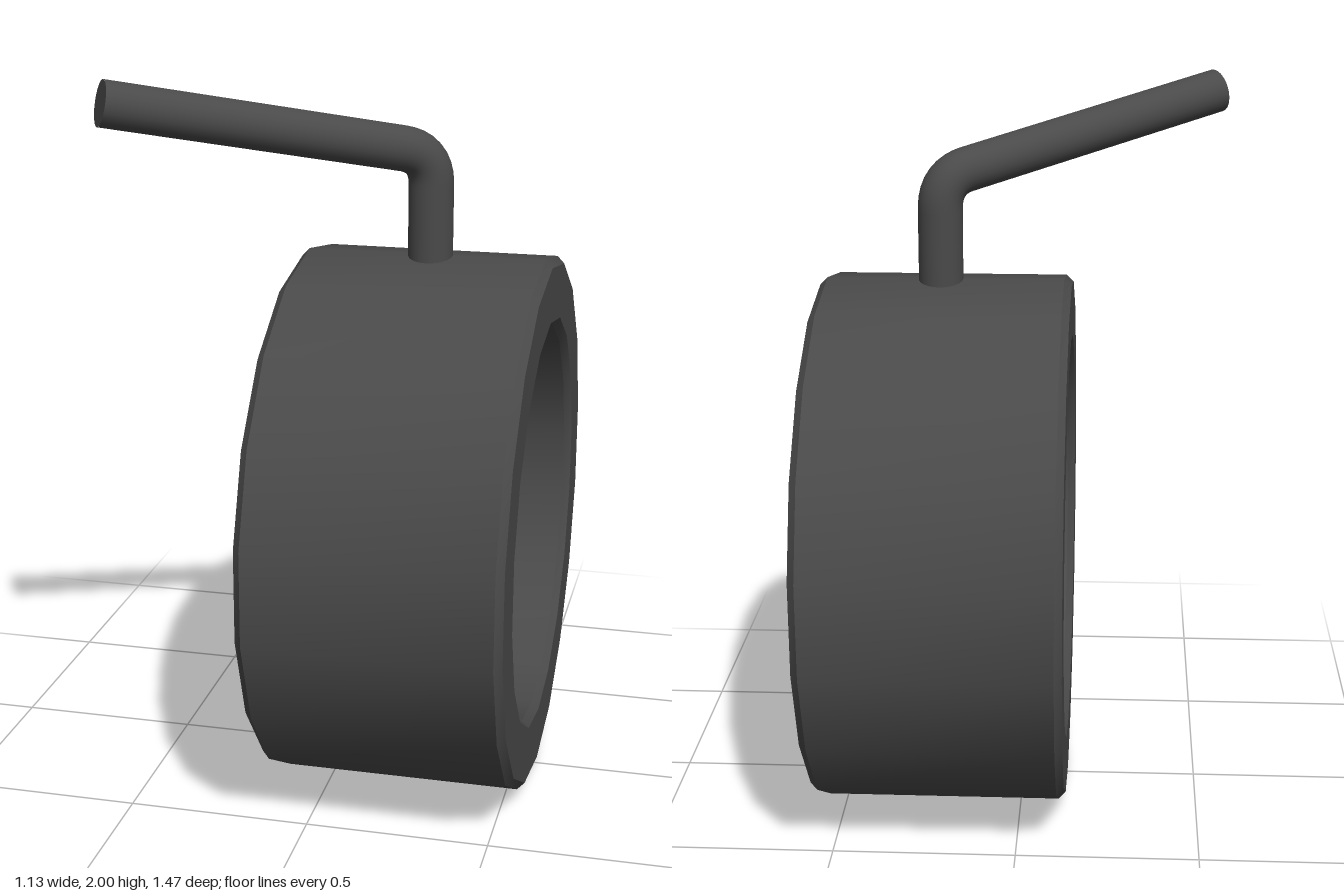
import * as THREE from 'three';
import { toCreasedNormals } from 'three/addons/utils/BufferGeometryUtils.js';

export function createModel() {
  const model = new THREE.Group();
  const material = new THREE.MeshStandardMaterial({ color: 0x4a4a4a });

  // 18-sided collar with chamfered rims, lying along x
  const outer = 0.745, inner = 0.553, half = 0.345, bevel = 0.02;
  const profile = [
    [inner, -half + bevel], [inner + bevel, -half], [outer - bevel, -half], [outer, -half + bevel],
    [outer, half - bevel], [outer - bevel, half], [inner + bevel, half], [inner, half - bevel],
    [inner, -half + bevel],
  ].map(([r, y]) => new THREE.Vector2(r, y));
  const ring = new THREE.LatheGeometry(profile, 18, Math.PI / 2);
  const collar = new THREE.Mesh(toCreasedNormals(ring, 0.5), material);
  collar.name = 'collar';
  collar.rotation.z = -Math.PI / 2;
  collar.position.set(0.215, 0.745, 0);
  model.add(collar);

  // Bent handle: upright stem, rounded elbow, long sloping arm
  const handle = new THREE.Group();
  handle.name = 'handle';
  const radius = 0.061, bend = 0.085;
  const foot = new THREE.Vector3(0.227, 1.44, 0);
  const corner = new THREE.Vector3(0.227, 1.768, 0);
  const tip = new THREE.Vector3(-0.532, 1.942, 0.462);
  const direction = tip.clone().sub(corner).normalize();
  const bendStart = corner.clone().setY(corner.y - bend);
  const bendEnd = corner.clone().addScaledVector(direction, bend);
  const path = new THREE.CurvePath();
  path.add(new THREE.LineCurve3(foot, bendStart));
  path.add(new THREE.QuadraticBezierCurve3(bendStart, corner, bendEnd));
  path.add(new THREE.LineCurve3(bendEnd, tip));
  const rod = new THREE.Mesh(new THREE.TubeGeometry(path, 72, radius, 24), material);
  rod.name = 'handleRod';
  handle.add(rod);

  // Flat end of the arm
  const cap = new THREE.Mesh(new THREE.CircleGeometry(radius, 24), material);
  cap.name = 'handleEnd';
  cap.position.copy(tip);
  cap.quaternion.setFromUnitVectors(new THREE.Vector3(0, 0, 1), direction);
  handle.add(cap);
  model.add(handle);

  return model;
}
